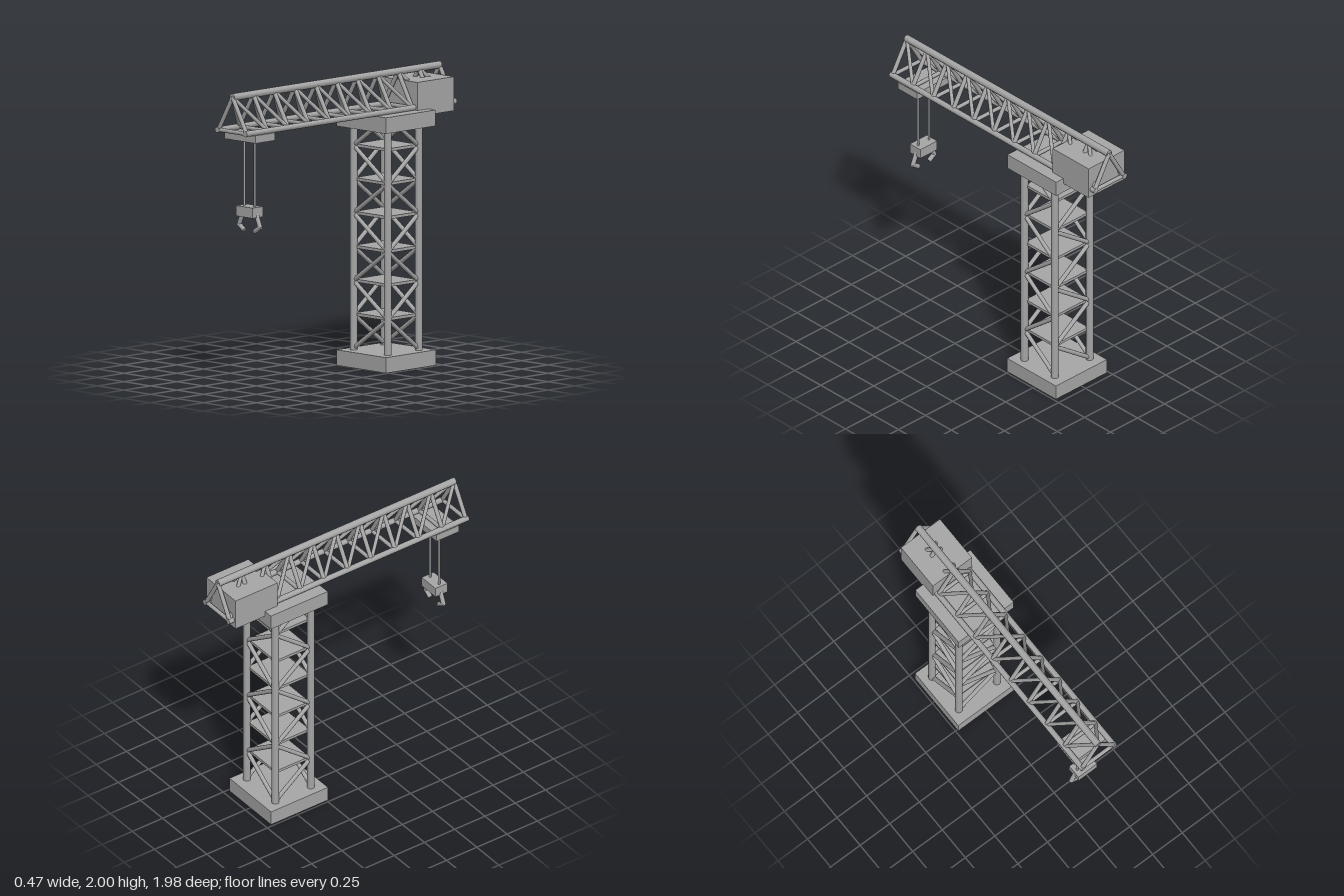
import * as THREE from 'three';

const steel = new THREE.MeshStandardMaterial({ color: 0xa6a6a6 });
steel.name = 'steelGrey';

const v = (x, y, z) => new THREE.Vector3(x, y, z);

function box(parent, name, w, h, d, x, y, z) {
  const m = new THREE.Mesh(new THREE.BoxGeometry(w, h, d), steel);
  m.name = name;
  m.position.set(x, y, z);
  parent.add(m);
}

// Round bar between two points
function bar(parent, name, a, b, r) {
  const dir = b.clone().sub(a);
  const m = new THREE.Mesh(new THREE.CylinderGeometry(r, r, dir.length(), 10), steel);
  m.name = name;
  m.position.copy(a).add(b).multiplyScalar(0.5);
  m.quaternion.setFromUnitVectors(v(0, 1, 0), dir.normalize());
  parent.add(m);
}

function group(parent, name) {
  const g = new THREE.Group();
  g.name = name;
  parent.add(g);
  return g;
}

function buildTower(parent) {
  const tower = group(parent, 'tower');
  const cz = -0.473, px = 0.161, pz = 0.146;
  box(tower, 'base', 0.47, 0.105, 0.47, 0, 0.0525, cz);
  box(tower, 'towerCap', 0.465, 0.108, 0.47, 0, 1.671, cz);

  for (const sx of [-1, 1]) for (const sz of [-1, 1]) {
    const x = sx * px, z = cz + sz * pz;
    bar(tower, 'post', v(x, 0.09, z), v(x, 1.64, z), 0.026);
  }

  // Floor plates and zigzag bracing on all four sides
  const y0 = 0.115, step = 0.2285;
  for (let i = 0; i < 7; i++) {
    const lo = y0 + i * step;
    const hi = Math.min(lo + step, 1.69);
    const s = i % 2 ? 1 : -1;
    if (i < 6) box(tower, 'floorPlate', 0.31, 0.02, 0.28, 0, hi, cz);
    const t = (hi - lo) / step * 2 - 1;
    for (const side of [-1, 1]) {
      bar(tower, 'crossBrace', v(s * px, lo, cz + side * pz), v(-s * px * t, hi, cz + side * pz), 0.015);
      bar(tower, 'sideBrace', v(side * px, lo, cz + s * pz), v(side * px, hi, cz - s * pz * t), 0.015);
    }
  }
}

function buildJib(parent) {
  const jib = group(parent, 'jib');
  const top = 1.975, low = 1.742, hx = 0.133, end = 0.975, panels = 10;
  bar(jib, 'topChord', v(0, top, -0.978), v(0, top, 0.98), 0.025);
  for (const s of [-1, 1]) bar(jib, 'bottomChord', v(s * hx, low, -0.99), v(s * hx, low, 0.99), 0.02);

  // Triangular frames with a sloping brace in every panel
  for (let i = 0; i <= panels; i++) {
    const z = end - (i * 2 * end) / panels;
    bar(jib, 'frameTie', v(-hx, low, z), v(hx, low, z), 0.014);
    for (const s of [-1, 1]) {
      bar(jib, 'frameLeg', v(0, top, z), v(s * hx, low, z), 0.015);
      if (i < panels) bar(jib, 'panelBrace', v(0, top, z), v(s * hx, low, z - 2 * end / panels), 0.013);
    }
  }
  box(jib, 'counterweight', 0.33, 0.23, 0.346, 0, 1.8, -0.777);
}

function buildHoist(parent) {
  const hoist = group(parent, 'hoist');
  const z = 0.815;
  box(hoist, 'trolley', 0.294, 0.052, 0.184, 0, 1.698, z);
  box(hoist, 'grabBlock', 0.156, 0.07, 0.1, 0, 1.188, z);
  for (const s of [-1, 1]) {
    bar(hoist, 'cable', v(s * 0.05, 1.2, z), v(s * 0.05, 1.69, z), 0.008);
    bar(hoist, 'upperClaw', v(s * 0.062, 1.18, z), v(s * 0.1, 1.085, z), 0.016);
    bar(hoist, 'lowerClaw', v(s * 0.103, 1.092, z), v(s * 0.048, 1.055, z), 0.016);
  }
}

export function createModel() {
  const crane = new THREE.Group();
  crane.name = 'towerCrane';
  buildTower(crane);
  buildJib(crane);
  buildHoist(crane);
  return crane;
}
